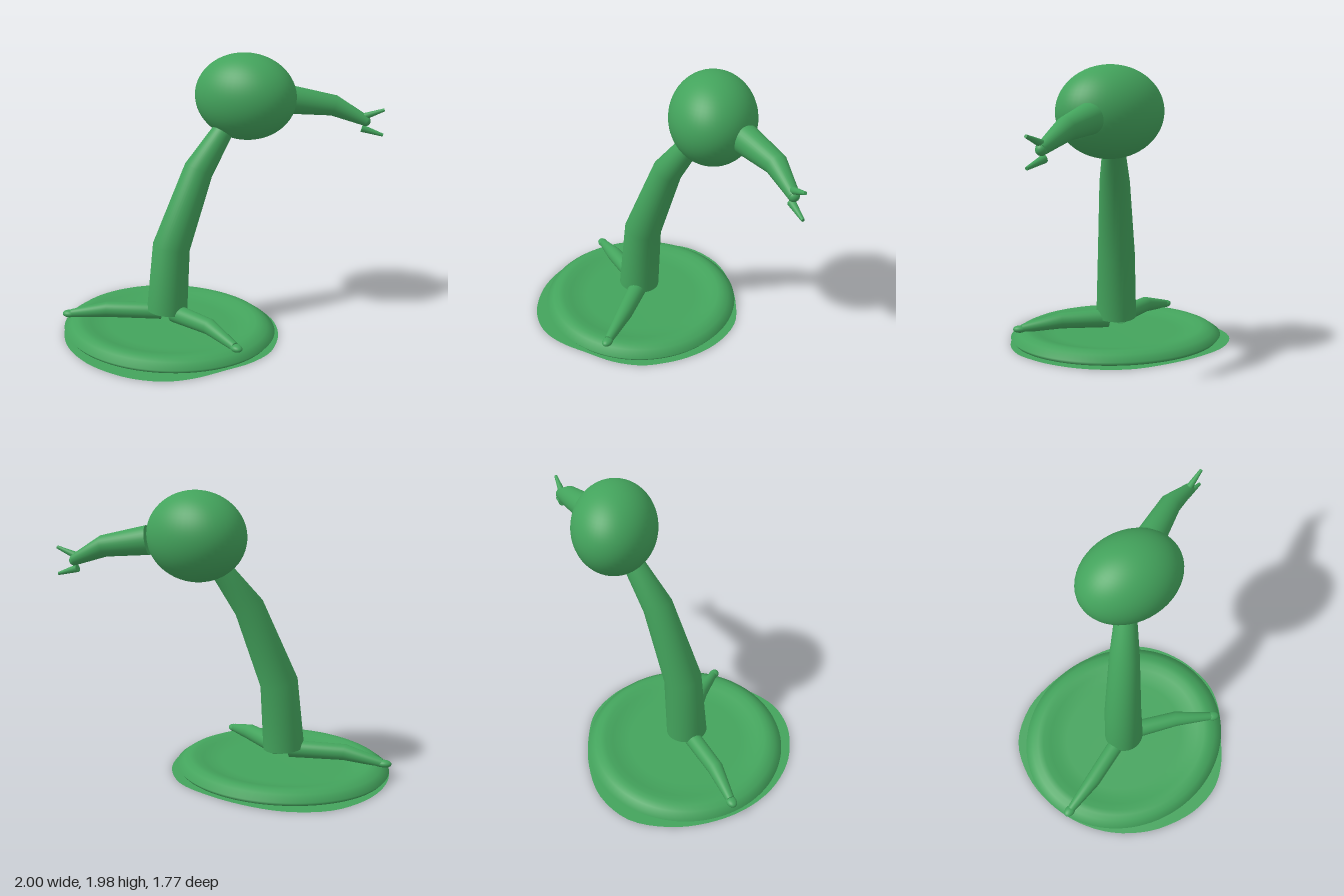
import * as THREE from 'three';

const material = new THREE.MeshStandardMaterial({ color: 0x43a35c, side: THREE.DoubleSide });
const V = (x, y, z) => new THREE.Vector3(x, y, z);

// Capped limb: round cross-sections [x, y, z, radius] joined in order
function limbGeometry(sections, sides = 32) {
  const centres = sections.map(([x, y, z]) => V(x, y, z));
  const last = centres.length - 1;
  const positions = [], index = [];
  const addRing = (i) => {
    const tangent = centres[Math.min(i + 1, last)].clone().sub(centres[i]).normalize();
    tangent.add(centres[i].clone().sub(centres[Math.max(i - 1, 0)]).normalize()).normalize();
    const helper = Math.abs(tangent.y) > 0.8 ? V(0, 0, 1) : V(0, 1, 0);
    const u = helper.cross(tangent).normalize();
    const v = tangent.clone().cross(u);
    const start = positions.length / 3;
    for (let s = 0; s < sides; s++) {
      const a = (s / sides) * Math.PI * 2;
      const p = centres[i].clone()
        .addScaledVector(u, Math.cos(a) * sections[i][3])
        .addScaledVector(v, Math.sin(a) * sections[i][3]);
      positions.push(p.x, p.y, p.z);
    }
    return start;
  };
  const rings = sections.map((_, i) => addRing(i));
  for (let i = 0; i < last; i++) {
    for (let s = 0; s < sides; s++) {
      const n = (s + 1) % sides, a = rings[i], b = rings[i + 1];
      index.push(a + s, a + n, b + n, a + s, b + n, b + s);
    }
  }
  // Flat caps on their own vertices, so the end edges stay sharp
  for (const i of [0, last]) {
    const ring = addRing(i), c = positions.length / 3;
    positions.push(...centres[i].toArray());
    for (let s = 0; s < sides; s++) {
      const n = (s + 1) % sides;
      if (i === 0) index.push(c, ring + n, ring + s);
      else index.push(c, ring + s, ring + n);
    }
  }
  const geometry = new THREE.BufferGeometry();
  geometry.setAttribute('position', new THREE.Float32BufferAttribute(positions, 3));
  geometry.setIndex(index);
  geometry.computeVertexNormals();
  return geometry;
}

export function createModel() {
  const model = new THREE.Group();
  const add = (name, geometry) => {
    const mesh = new THREE.Mesh(geometry, material);
    mesh.name = name;
    model.add(mesh);
    return mesh;
  };
  const addEllipsoid = (name, position, radii) => {
    const mesh = add(name, new THREE.SphereGeometry(1, 48, 32));
    mesh.position.set(...position);
    mesh.scale.set(...radii);
    return mesh;
  };

  // Thin irregular sheet under the base, outline given as x, z
  const outline = [
    [-1, 0], [-0.94, -0.28], [-0.73, -0.49], [-0.45, -0.59], [-0.15, -0.62], [0.12, -0.59],
    [0.36, -0.44], [0.51, -0.24], [0.58, -0.05], [0.6, 0.09], [0.56, 0.28], [0.46, 0.47],
    [0.34, 0.67], [0.2, 0.8], [0.01, 0.87], [-0.17, 0.88], [-0.4, 0.84], [-0.65, 0.71],
    [-0.84, 0.51], [-0.96, 0.26],
  ];
  const edge = new THREE.CatmullRomCurve3(outline.map(([x, z]) => V(x, -z, 0)), true);
  const sheetShape = new THREE.Shape(edge.getPoints(80).map((p) => new THREE.Vector2(p.x, p.y)));
  add('groundSheet', new THREE.ShapeGeometry(sheetShape).rotateX(-Math.PI / 2));

  // Oval dish with a bevelled rim and a shallow hollow
  const dishProfile = [
    [0, 0.008], [0.97, 0.008], [1, 0.035], [0.93, 0.072], [0.875, 0.09], [0.82, 0.09],
    [0.75, 0.077], [0.68, 0.063], [0.58, 0.056], [0, 0.056],
  ].map(([r, y]) => new THREE.Vector2(r, y));
  const dish = add('baseDish', new THREE.LatheGeometry(dishProfile, 96));
  dish.position.set(-0.203, 0, 0.1);
  dish.scale.set(0.777, 1, 0.71);

  // Leaning trunk and head
  add('trunk', limbGeometry([
    [-0.21, 0.16, 0.112, 0.145], [-0.19, 0.635, 0.08, 0.133],
    [-0.068, 1.175, -0.095, 0.105], [0.035, 1.43, -0.25, 0.075],
  ], 40));
  addEllipsoid('head', [0.143, 1.67, -0.385], [0.373, 0.305, 0.293]);

  // Arm reaching back from the head, with two fingers
  add('arm', limbGeometry([
    [0.41, 1.64, -0.575, 0.1], [0.665, 1.595, -0.745, 0.074], [0.875, 1.49, -0.835, 0.038],
  ]));
  addEllipsoid('wrist', [0.872, 1.488, -0.833], [0.036, 0.036, 0.036]);
  add('upperFinger', limbGeometry([[0.86, 1.52, -0.825, 0.025], [0.993, 1.573, -0.88, 0.011]], 16));
  add('lowerFinger', limbGeometry([[0.85, 1.435, -0.825, 0.027], [0.99, 1.39, -0.88, 0.011]], 16));

  // Two bent legs ending in rounded toes
  const legs = {
    right: [[-0.25, 0.15, 0.13, 0.06], [-0.595, 0.155, 0.315, 0.056], [-0.84, 0.108, 0.415, 0.03]],
    left: [[-0.14, 0.15, 0.12, 0.066], [0.195, 0.155, 0.21, 0.056], [0.45, 0.108, 0.315, 0.03]],
  };
  for (const [side, sections] of Object.entries(legs)) {
    add(`${side}Leg`, limbGeometry(sections));
    const [, knee, end] = sections;
    const dx = end[0] - knee[0], dz = end[2] - knee[2];
    const length = Math.hypot(dx, dz);
    const toe = addEllipsoid(`${side}Toe`,
      [end[0] + (dx / length) * 0.018, 0.104, end[2] + (dz / length) * 0.018], [0.05, 0.026, 0.036]);
    toe.rotation.y = Math.atan2(-dz, dx);
  }
  return model;
}
